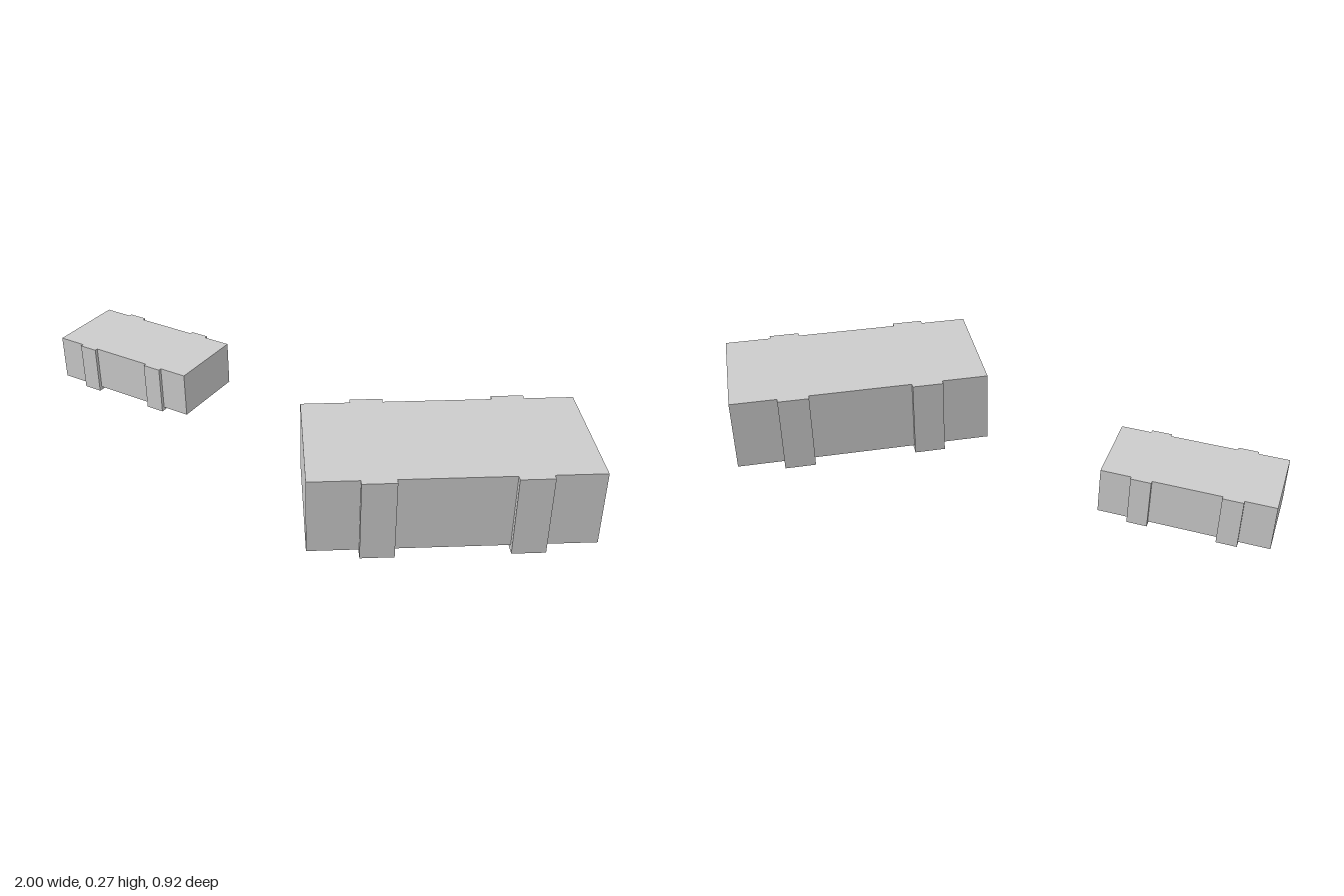
import * as THREE from 'three';

const LENGTH = 0.875, WIDTH = 0.425, BOTTOM = 0.019, TOP = 0.27;
const STRAP_WIDTH = 0.105, STRAP_THICKNESS = 0.018, STRAP_OFFSET = 0.227;

const material = new THREE.MeshStandardMaterial({ color: 0xcccccc, flatShading: true });

// U-shaped band wrapping the sides and underside, flush with the top
function makeStrap() {
  const inner = WIDTH / 2, outer = inner + STRAP_THICKNESS;
  const profile = new THREE.Shape([
    [-outer, 0], [outer, 0], [outer, TOP], [inner, TOP],
    [inner, BOTTOM], [-inner, BOTTOM], [-inner, TOP], [-outer, TOP],
  ].map(([x, y]) => new THREE.Vector2(x, y)));
  const geometry = new THREE.ExtrudeGeometry(profile, { depth: STRAP_WIDTH, bevelEnabled: false });
  geometry.translate(0, 0, -STRAP_WIDTH / 2);
  geometry.rotateY(Math.PI / 2);
  return geometry;
}

// A block with its long side along x and two bands across it
function makeBlock(name) {
  const group = new THREE.Group();
  group.name = name;

  const body = new THREE.Mesh(new THREE.BoxGeometry(LENGTH, TOP - BOTTOM, WIDTH), material);
  body.name = 'body';
  body.position.y = (TOP + BOTTOM) / 2;
  group.add(body);

  const strapGeometry = makeStrap();
  for (const side of [-1, 1]) {
    const strap = new THREE.Mesh(strapGeometry, material);
    strap.name = side > 0 ? 'leftStrap' : 'rightStrap';
    strap.position.x = side * STRAP_OFFSET;
    group.add(strap);
  }
  return group;
}

export function createModel() {
  const model = new THREE.Group();
  model.name = 'strappedBlocks';

  const large = makeBlock('largeBlock');
  large.position.set(0.54, 0, 0);
  large.rotation.y = Math.PI / 4;

  const small = makeBlock('smallBlock');
  small.position.set(-0.705, 0.037, 0.145);
  small.rotation.y = THREE.MathUtils.degToRad(12);
  small.scale.setScalar(0.624);

  model.add(large, small);
  return model;
}
